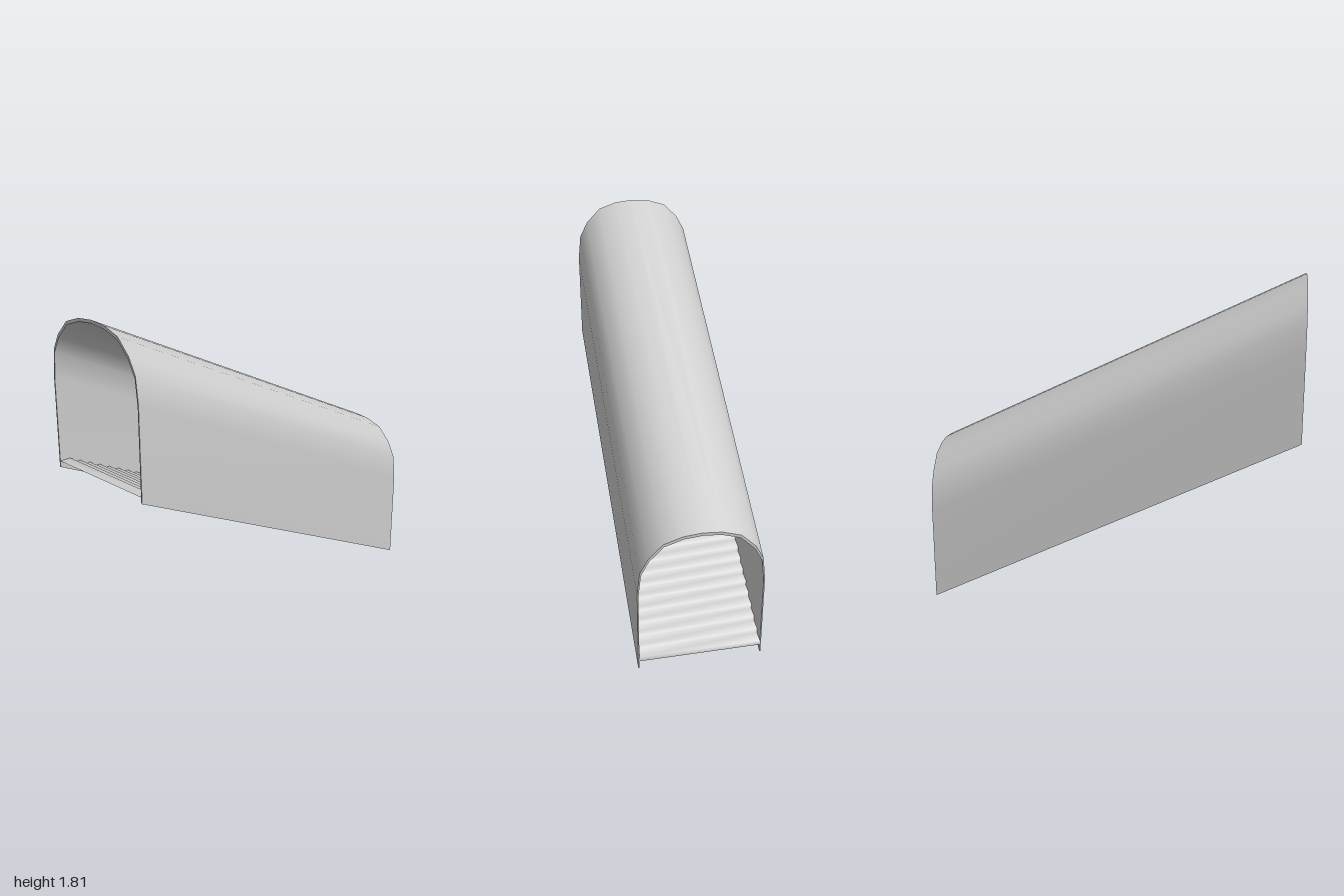
import * as THREE from 'three';

const RISE = 0.967; // climb of the passage from back (z = -1) to front (z = 1)
const STEPS = 32;

// Smooth indexed strip between two polylines of equal length
function ribbon(a, b) {
  const n = a.length, index = [];
  for (let i = 0; i < n - 1; i++) {
    index.push(i, i + 1, n + i, n + i, i + 1, n + i + 1);
  }
  const g = new THREE.BufferGeometry().setFromPoints([...a, ...b]);
  g.setIndex(index);
  g.computeVertexNormals();
  return g;
}

export function createModel() {
  const group = new THREE.Group();
  const solid = new THREE.MeshStandardMaterial({ color: 0xcccccc });
  const thin = new THREE.MeshStandardMaterial({ color: 0xcccccc, side: THREE.DoubleSide });
  const add = (name, geometry, material = solid) => {
    const mesh = new THREE.Mesh(geometry, material);
    mesh.name = name;
    group.add(mesh);
  };

  // Arched cross-section: half profile from foot to crown, then mirrored
  const half = [[0.33, 0], [0.33, 0.5], [0.316, 0.635], [0.273, 0.72], [0.197, 0.8], [0.097, 0.834]];
  const profile = [
    ...half.map(([x, y]) => [-x, y]),
    [0, 0.843],
    ...half.slice().reverse(),
  ];
  const section = (scale, z) => profile.map(([x, y]) =>
    new THREE.Vector3(x * scale, y * scale + RISE * (z + 1) / 2, z));

  const outerBack = section(1, -1), outerFront = section(1, 1);
  const innerBack = section(0.98, -1), innerFront = section(0.98, 1);

  // Sloping vault with vertical ends
  add('outerVault', ribbon(outerFront, outerBack));
  add('innerVault', ribbon(innerBack, innerFront));
  add('frontRim', ribbon(innerFront, outerFront));
  add('backRim', ribbon(outerBack, innerBack));

  // Underside of the two side walls
  const e = profile.length - 1;
  add('rightWallFoot', ribbon([outerBack[0], innerBack[0]], [outerFront[0], innerFront[0]]));
  add('leftWallFoot', ribbon([innerBack[e], outerBack[e]], [innerFront[e], outerFront[e]]));

  // Staircase: one folded sheet, riser then tread, climbing to the front
  const y0 = 0.048, rise = (1.0 - y0) / STEPS, run = 2 / STEPS;
  const steps = [[y0, -1]];
  for (let i = 0; i < STEPS; i++) {
    const y = y0 + (i + 1) * rise;
    steps.push([y, -1 + i * run], [y, -1 + (i + 1) * run]);
  }
  const edge = (x) => steps.map(([y, z]) => new THREE.Vector3(x, y, z));
  add('staircase', ribbon(edge(-0.325), edge(0.325)), thin);

  return group;
}
